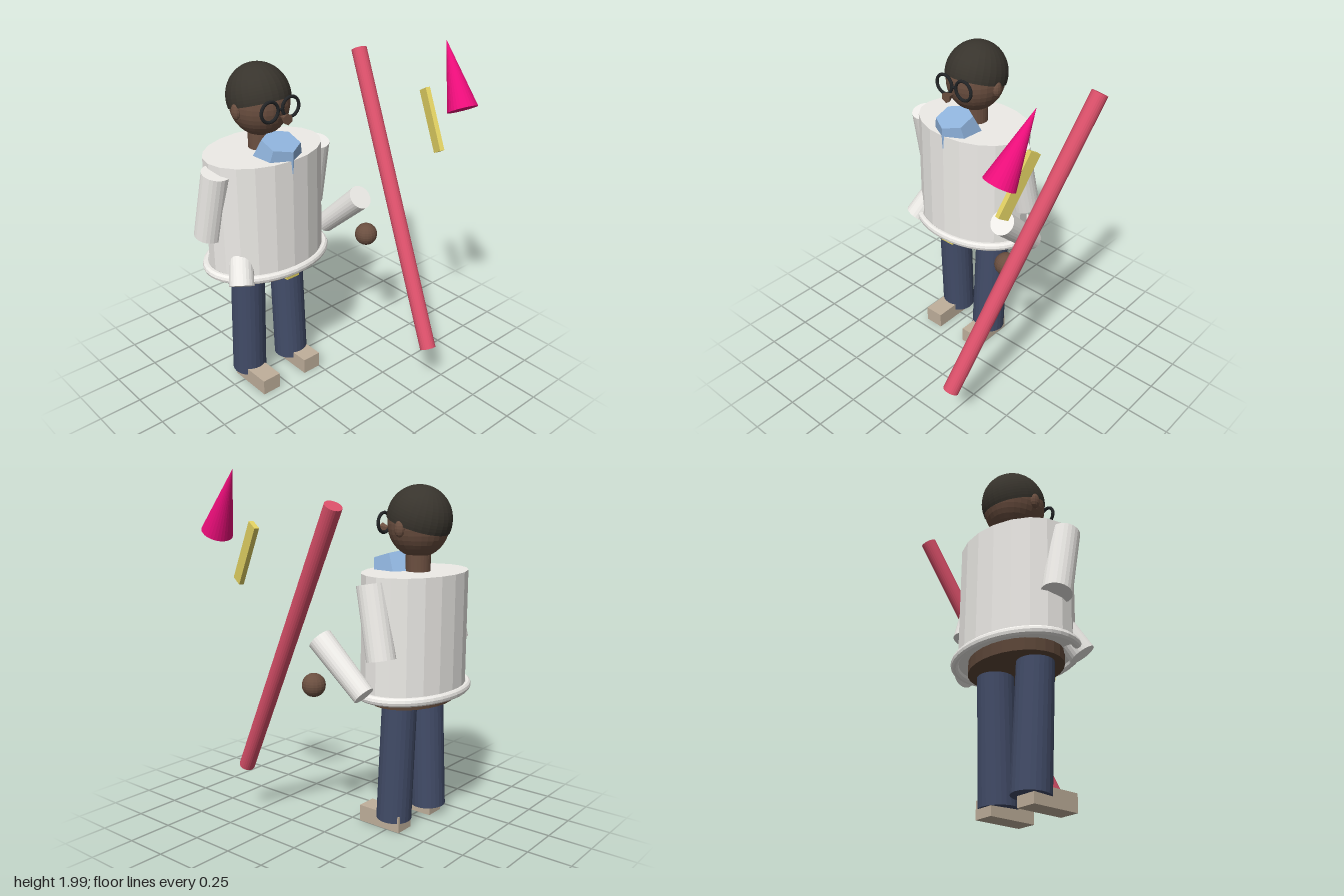
import * as THREE from 'three';

const V = (x, y, z) => new THREE.Vector3(x, y, z);
const UP = V(0, 1, 0);
const CX = -0.21; // centre line of the figure
const CZ = -0.27;

function mat(color, side = THREE.FrontSide) {
  return new THREE.MeshStandardMaterial({ color, flatShading: true, side });
}

const cloth = mat(0xeeece8);
const skin = mat(0x6b4f40);
const hairMat = mat(0x38342d, THREE.DoubleSide);
const denim = mat(0x424c68);
const shirt = mat(0x8fb3dc);
const leather = mat(0x5c4638);
const gold = mat(0xe3d263);
const shoeMat = mat(0xbfaf9b);
const frameMat = mat(0x222426);
const red = mat(0xdb506a);
const pink = mat(0xec0d7a);

export function createModel() {
  const model = new THREE.Group();
  model.name = 'figureWithStaff';

  function add(name, geometry, material, x, y, z) {
    const mesh = new THREE.Mesh(geometry, material);
    mesh.name = name;
    mesh.position.set(x, y, z);
    model.add(mesh);
    return mesh;
  }

  // Cylinder or cone running from a to b
  function limb(name, a, b, rA, rB, material, sides = 24) {
    const d = b.clone().sub(a);
    const mid = a.clone().add(b).multiplyScalar(0.5);
    const mesh = add(name, new THREE.CylinderGeometry(rB, rA, d.length(), sides), material, mid.x, mid.y, mid.z);
    mesh.quaternion.setFromUnitVectors(UP, d.normalize());
    return mesh;
  }

  // Head, ears and neck
  add('head', new THREE.SphereGeometry(1, 28, 20), skin, CX, 1.705, -0.285).scale.set(0.16, 0.182, 0.172);
  for (const s of [-1, 1]) {
    add('ear', new THREE.SphereGeometry(1, 12, 8), skin, CX + s * 0.16, 1.685, -0.275).scale.set(0.022, 0.045, 0.03);
  }
  limb('neck', V(CX, 1.42, -0.287), V(CX, 1.58, -0.287), 0.068, 0.068, skin);

  // Hair cap, tilted back
  const hair = new THREE.SphereGeometry(0.182, 28, 18, 0, Math.PI * 2, 0, 1.737);
  hair.rotateX(-0.305);
  add('hair', hair, hairMat, CX, 1.729, -0.29).scale.x = 0.93;

  // Round glasses and nose
  for (const s of [-1, 1]) {
    add('glassesRim', new THREE.TorusGeometry(0.054, 0.009, 8, 28), frameMat, CX + s * 0.068, 1.705, -0.106);
  }
  limb('glassesBridge', V(CX - 0.018, 1.705, -0.106), V(CX + 0.018, 1.705, -0.106), 0.007, 0.007, frameMat, 8);
  const nose = add('nose', new THREE.ConeGeometry(0.031, 0.065, 6), skin, CX, 1.668, -0.076);
  nose.rotation.x = -Math.PI / 2;

  // Hexagonal shirt collar leaning forward
  const collar = add('collar', new THREE.CylinderGeometry(0.105, 0.138, 0.12, 6), shirt, CX, 1.473, -0.125);
  collar.rotation.x = 0.3;

  // Oval sweater body with a rolled hem
  const body = add('sweaterBody', new THREE.CylinderGeometry(0.353, 0.353, 0.65, 20), cloth, CX, 1.125, CZ);
  body.scale.z = 0.73;
  const hemShape = new THREE.TorusGeometry(0.369, 0.025, 10, 40);
  hemShape.rotateX(Math.PI / 2);
  add('sweaterHem', hemShape, cloth, CX, 0.8, CZ).scale.z = 0.73;

  // Belt and buckle
  add('belt', new THREE.CylinderGeometry(0.285, 0.285, 0.075, 28), leather, CX, 0.772, -0.267).scale.z = 0.75;
  add('beltBuckle', new THREE.BoxGeometry(0.085, 0.07, 0.025), gold, CX, 0.77, -0.043);

  // Legs and shoes in a slight stride
  for (const s of [-1, 1]) {
    const x = CX + s * 0.144;
    limb('leg', V(x, 0.055, -0.27 + s * 0.02), V(x, 0.76, -0.27 - s * 0.01), 0.1, 0.097, denim);
    add('shoe', new THREE.BoxGeometry(0.117, 0.095, 0.275), shoeMat, CX + s * 0.154, 0.0475, -0.196);
  }

  // Arms
  for (const s of [-1, 1]) {
    limb('upperArm', V(CX + s * 0.355, 1.02, -0.31), V(CX + s * 0.335, 1.41, -0.225), 0.08, 0.08, cloth);
  }
  limb('leftForearm', V(0.233, 0.84, -0.265), V(0.247, 1.107, 0.022), 0.06, 0.07, cloth);
  limb('rightForearm', V(-0.515, 0.773, -0.093), V(-0.383, 1.1, -0.27), 0.07, 0.06, cloth);
  add('leftHand', new THREE.SphereGeometry(0.065, 18, 14), skin, 0.29, 0.86, 0.032);

  // Staff with its blade and pointed tip, all sharing one slant
  const staffParts = [
    add('staff', new THREE.CylinderGeometry(0.045, 0.045, 1.775, 24), red, 0.44, 1.065, 0.097),
    add('staffBlade', new THREE.BoxGeometry(0.027, 0.35, 0.066), gold, 0.533, 1.57, 0.27),
    add('staffTip', new THREE.ConeGeometry(0.083, 0.375, 28), pink, 0.59, 1.832, 0.355),
  ];
  for (const part of staffParts) part.rotation.set(-0.526, -0.256, 0, 'YXZ');

  return model;
}
